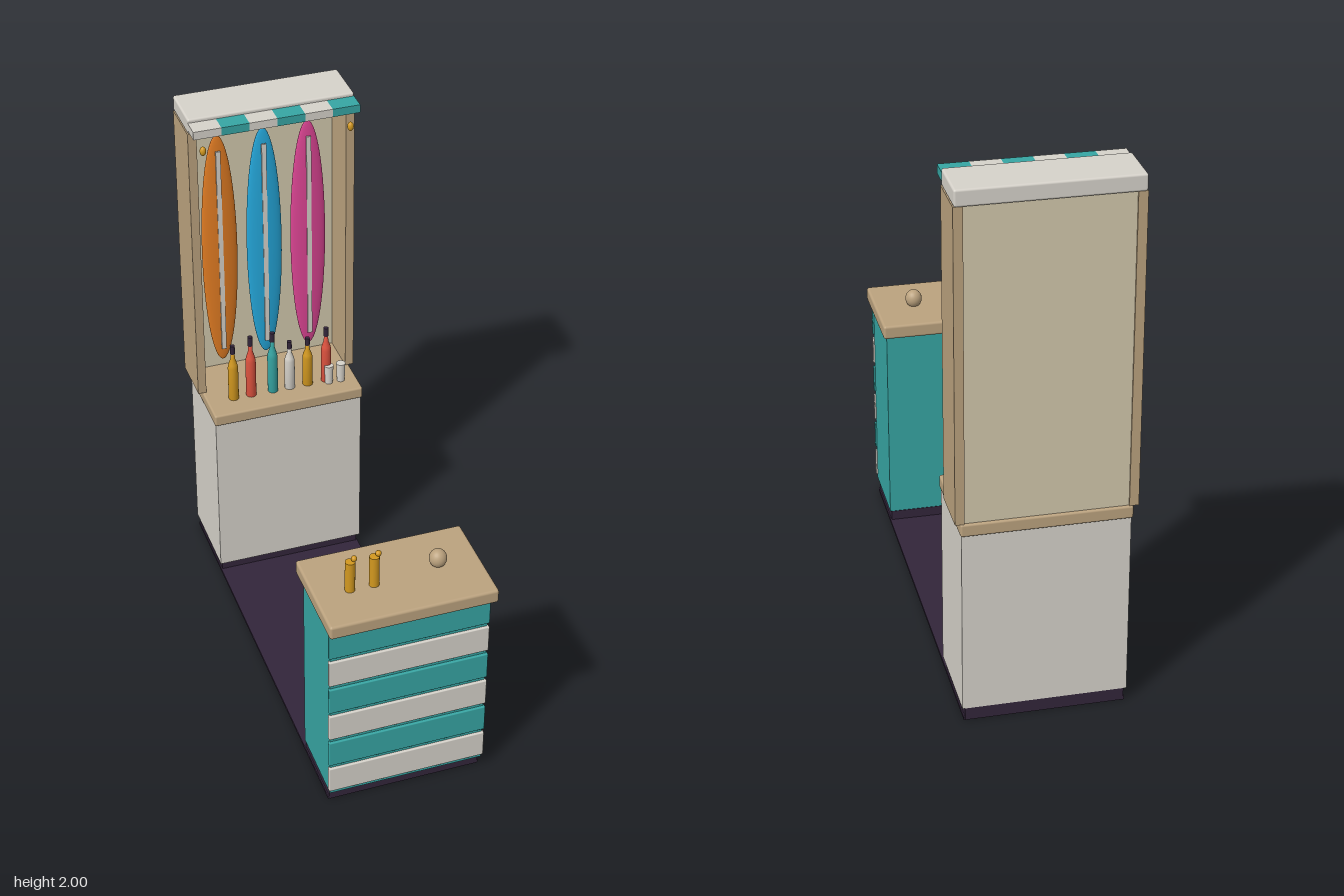
import * as THREE from 'three';
import { RoundedBoxGeometry } from 'three/addons/geometries/RoundedBoxGeometry.js';

const paint = (name, hex) => {
  const m = new THREE.MeshStandardMaterial({ color: hex });
  m.name = name;
  return m;
};

export function createModel() {
  const teal = paint('teal', 0x36a5a3), white = paint('warm white', 0xd6d2ca);
  const wood = paint('light wood', 0xbba27e), panel = paint('pale panel', 0xd2c8ac);
  const dark = paint('dark base', 0x32253a), gold = paint('gold', 0xd2981f);
  const orange = paint('orange', 0xde7a22), blue = paint('blue', 0x24a6d9);
  const pink = paint('pink', 0xda4492), red = paint('red', 0xde533f);
  const model = new THREE.Group();
  model.name = 'beachBar';

  const add = (name, geometry, material, x, y, z, parent = model) => {
    const mesh = new THREE.Mesh(geometry, material);
    mesh.name = name;
    mesh.position.set(x, y, z);
    parent.add(mesh);
    return mesh;
  };
  // Box given by its limits; a radius rounds the edges
  const box = (name, material, [x0, x1], [y0, y1], [z0, z1], radius = 0) => {
    const s = [x1 - x0, y1 - y0, z1 - z0];
    const g = radius ? new RoundedBoxGeometry(...s, 2, radius) : new THREE.BoxGeometry(...s);
    return add(name, g, material, (x0 + x1) / 2, (y0 + y1) / 2, (z0 + z1) / 2);
  };

  // Floor mat and plinths
  box('floorMat', dark, [-0.29, 0.29], [0, 0.012], [-0.86, 0.8]);
  box('frontPlinth', dark, [-0.285, 0.285], [0.001, 0.05], [0.533, 0.803]);
  box('backPlinth', dark, [-0.285, 0.285], [0.001, 0.05], [-0.863, -0.54]);

  // Front counter with striped slats
  box('frontCounter', teal, [-0.29, 0.29], [0.05, 0.83], [0.535, 0.823]);
  for (let i = 0; i < 6; i++) {
    const y = 0.122 + i * 0.127;
    box('frontSlat', i % 2 ? teal : white, [-0.296, 0.296], [y - 0.055, y + 0.055], [0.815, 0.833], 0.004);
  }
  box('frontCounterTop', wood, [-0.307, 0.307], [0.83, 0.885], [0.497, 0.876], 0.01);

  // Back cabinet
  box('backCabinet', white, [-0.295, 0.295], [0.05, 0.745], [-0.865, -0.527]);
  box('backCabinetTop', wood, [-0.3, 0.3], [0.745, 0.793], [-0.876, -0.516], 0.008);

  // Display frame, roof and striped canopy
  box('backPanel', panel, [-0.288, 0.288], [0.793, 1.94], [-0.866, -0.846]);
  for (const s of [-1, 1]) {
    box('sidePanel', wood, s < 0 ? [-0.318, -0.285] : [0.285, 0.318], [0.793, 1.94], [-0.872, -0.683]);
  }
  box('roof', white, [-0.316, 0.316], [1.94, 2], [-0.878, -0.683], 0.008);
  for (let i = 0; i < 6; i++) {
    const x = -0.315 + i * 0.105;
    box('canopyStripe', i % 2 ? teal : white, [x, x + 0.105], [1.954, 1.986], [-0.69, -0.614]);
  }

  // Hanging lamps
  for (const s of [-1, 1]) {
    add('lamp', new THREE.SphereGeometry(0.012, 16, 12), gold, s * 0.28, 1.9, -0.62).scale.y = 1.5;
  }

  // Surfboards with centre stringers
  [[orange, -0.177], [blue, 0], [pink, 0.175]].forEach(([material, x]) => {
    add('surfboard', new THREE.SphereGeometry(1, 32, 32), material, x, 1.345, -0.81).scale.set(0.07, 0.5, 0.02);
    box('surfboardStripe', white, [x - 0.009, x + 0.009], [0.905, 1.785], [-0.795, -0.788]);
  });

  // Bottles: lathed body and dark cap, scaled to height
  const profile = [[0, 0], [0.02, 0], [0.02, 0.16], [0.017, 0.177], [0.009, 0.205], [0.008, 0.235], [0, 0.235]]
    .map(([r, y]) => new THREE.Vector2(r, y));
  const bottleBody = new THREE.LatheGeometry(profile, 20);
  const bottleCap = new THREE.CylinderGeometry(0.0095, 0.0095, 0.04, 16);
  [[gold, -0.195, 0.245], [red, -0.124, 0.27], [teal, -0.036, 0.27],
    [white, 0.033, 0.215], [gold, 0.106, 0.215], [red, 0.182, 0.245]].forEach(([material, x, height]) => {
    const bottle = new THREE.Group();
    bottle.name = 'bottle';
    bottle.position.set(x, 0.793, -0.614);
    bottle.scale.y = height / 0.27;
    add('bottleBody', bottleBody, material, 0, 0, 0, bottle);
    add('bottleCap', bottleCap, dark, 0, 0.25, 0, bottle);
    model.add(bottle);
  });

  // Glasses beside the bottles
  for (const x of [0.187, 0.236]) {
    add('glass', new THREE.CylinderGeometry(0.018, 0.015, 0.08, 20), white, x, 0.833, -0.595);
  }

  // Beer taps with side knobs
  for (const x of [-0.178, -0.09]) {
    add('tap', new THREE.CylinderGeometry(0.018, 0.018, 0.125, 20), gold, x, 0.9475, 0.707);
    add('tapKnob', new THREE.SphereGeometry(0.011, 14, 10), gold, x + 0.014, 1.02, 0.707);
  }

  // Coconut on the counter
  add('coconut', new THREE.SphereGeometry(0.032, 24, 16), wood, 0.156, 0.912, 0.675).scale.y = 1.1;

  return model;
}
